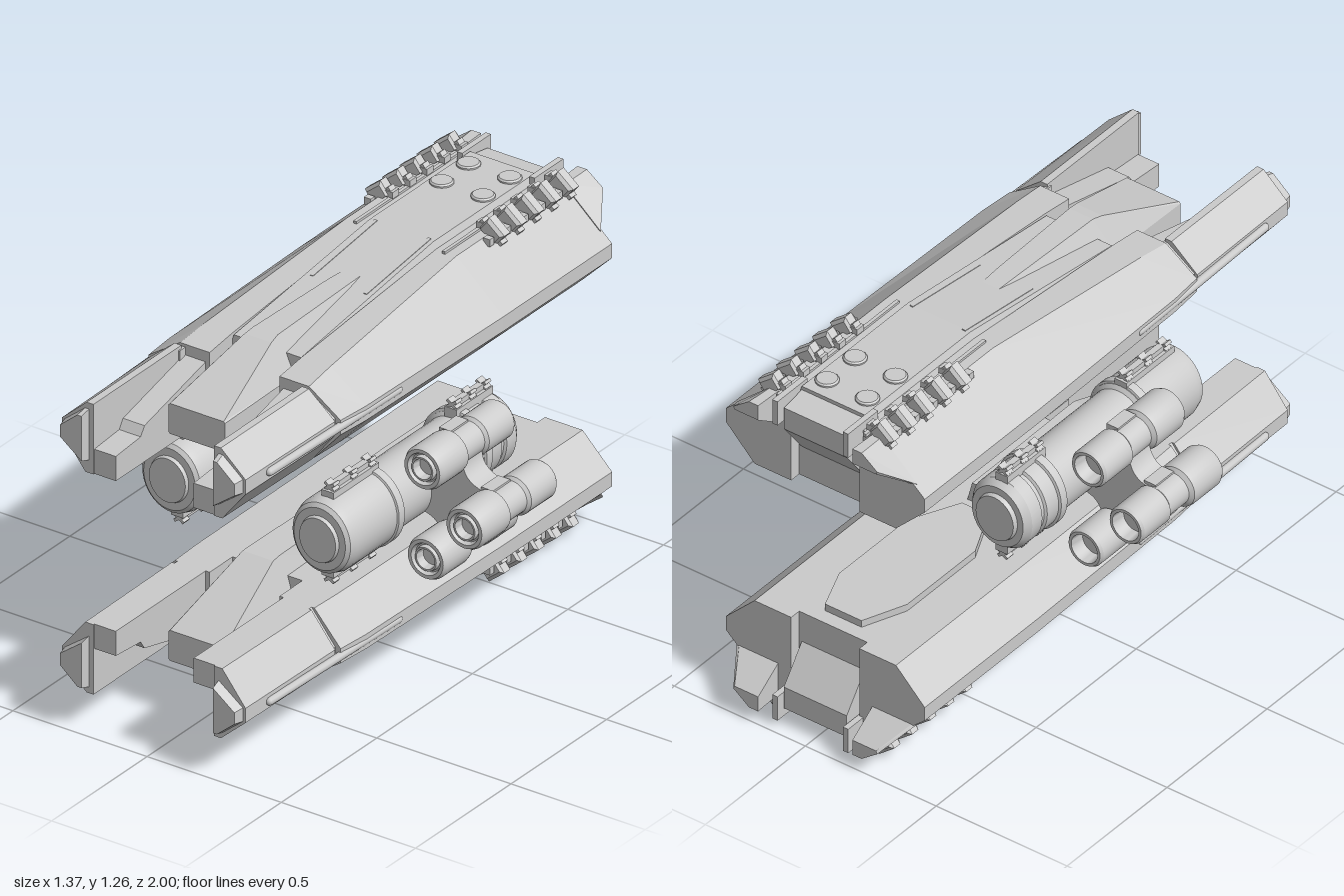
import * as THREE from 'three';
import { toCreasedNormals } from 'three/addons/utils/BufferGeometryUtils.js';

const mat = new THREE.MeshStandardMaterial({ color: 0xcccccc });

function add(parent, name, geo, x = 0, y = 0, z = 0) {
  const m = new THREE.Mesh(geo, mat);
  m.name = name;
  m.position.set(x, y, z);
  parent.add(m);
  return m;
}
const box = (w, h, d) => new THREE.BoxGeometry(w, h, d);

// Flat-shaded loft. sections: [z, [[x, y], ...]] from back to front, rings counter-clockwise
// seen from the front; side -1 mirrors the rings in x.
function loft(sections, side = 1) {
  const rings = sections.map(([z, pts]) => {
    const r = pts.map(([x, y]) => new THREE.Vector3(x * side, y, z));
    return side < 0 ? r.reverse() : r;
  });
  const pos = [];
  const tri = (...vs) => vs.forEach(v => pos.push(v.x, v.y, v.z));
  for (let i = 0; i < rings.length - 1; i++) {
    const a = rings[i], b = rings[i + 1], n = a.length;
    for (let j = 0; j < n; j++) {
      const k = (j + 1) % n;
      tri(a[j], a[k], b[k]);
      tri(a[j], b[k], b[j]);
    }
  }
  const cap = (r, flip) => {
    const flat = r.map(v => new THREE.Vector2(v.x, v.y));
    for (const [p, q, s] of THREE.ShapeUtils.triangulateShape(flat, [])) {
      if (flip) tri(r[p], r[s], r[q]); else tri(r[p], r[q], r[s]);
    }
  };
  cap(rings[0], true);
  cap(rings[rings.length - 1], false);
  const g = new THREE.BufferGeometry();
  g.setAttribute('position', new THREE.Float32BufferAttribute(pos, 3));
  g.computeVertexNormals();
  return g;
}

// Turned part along z; profile of [radius, z] from back to front
function turned(profile, segments = 32) {
  const g = new THREE.LatheGeometry(profile.map(([r, z]) => new THREE.Vector2(r, z)), segments);
  g.rotateX(Math.PI / 2);
  return toCreasedNormals(g, 0.5);
}

// Symmetric ring from its right half, listed bottom to top
const sym = half => [...half, ...half.map(([x, y]) => [-x, y]).reverse()];

const hullRing = (inner, bottom, outer, top, y) =>
  [[inner, 0.89], [bottom, 0.89], [outer, 1.0], [outer, 1.05], [top, y], [inner, y]];
const rect = (x0, x1, y0, y1) => [[x0, y0], [x1, y0], [x1, y1], [x0, y1]];

function hull(name) {
  const g = new THREE.Group();
  g.name = name;

  // Central deck and the tongue at its front
  const deck = (w, y) => sym([[w, 0.89], [w, y - 0.06], [w - 0.02, y]]);
  add(g, 'deck', loft([[-0.86, deck(0.14, 1.228)], [-0.33, deck(0.14, 1.228)], [0.37, deck(0.145, 1.14)]]));
  add(g, 'deckTail', loft([[-0.95, sym([[0.12, 1.12], [0.12, 1.2]])], [-0.86, sym([[0.12, 1.0], [0.12, 1.215]])]]));
  const tongue = (w, wt, wb, t, b) => sym([[wb, b], [w, 0.975], [w, 1.07], [wt, t]]);
  add(g, 'tongue', loft([
    [-0.1, tongue(0.09, 0.03, 0.05, 1.195, 0.82)], [0, tongue(0.09, 0.035, 0.05, 1.198, 0.82)],
    [0.38, tongue(0.1, 0.045, 0.055, 1.198, 0.82)], [0.42, tongue(0.1, 0.05, 0.057, 1.19, 0.823)],
    [0.74, tongue(0.105, 0.1, 0.1, 1.075, 0.97)]]));

  // Hatch on the inner face of the hull
  const hatch = new THREE.Shape([[0.05, 0.15], [0.13, 0.32], [0.13, 0.66], [0.07, 0.81],
    [-0.07, 0.81], [-0.13, 0.66], [-0.13, 0.32], [-0.05, 0.15]].map(p => new THREE.Vector2(...p)));
  const hatchGeo = new THREE.ExtrudeGeometry(hatch, { depth: 0.035, bevelEnabled: false });
  hatchGeo.rotateX(-Math.PI / 2);
  add(g, 'hatch', hatchGeo, 0, 0.865, 0);

  for (const s of [-1, 1]) {
    // Side body, forward arm, collar between them and arm tip
    add(g, 'sideBody', loft([
      [-0.9, hullRing(0.13, 0.27, 0.38, 0.205, 1.205)], [-0.33, hullRing(0.13, 0.27, 0.38, 0.205, 1.205)],
      [0.37, hullRing(0.13, 0.265, 0.368, 0.235, 1.145)], [0.49, hullRing(0.13, 0.26, 0.358, 0.24, 1.13)]], s));
    add(g, 'collar', loft([[0.48, hullRing(0.22, 0.25, 0.338, 0.235, 1.12)], [0.52, hullRing(0.22, 0.25, 0.338, 0.235, 1.12)]], s));
    add(g, 'arm', loft([[0.505, hullRing(0.225, 0.26, 0.348, 0.25, 1.132)], [0.965, hullRing(0.225, 0.255, 0.342, 0.25, 1.132)]], s));
    add(g, 'armTip', loft([[0.95, [[0.24, 0.93], [0.335, 1.0], [0.335, 1.05], [0.255, 1.115], [0.24, 1.115]]],
      [1.0, [[0.245, 0.945], [0.325, 1.005], [0.325, 1.045], [0.26, 1.1], [0.245, 1.1]]]], s));
    add(g, 'innerArm', loft([[0.36, rect(0.145, 0.23, 0.89, 1.125)], [0.81, rect(0.145, 0.23, 0.89, 1.015)],
      [0.83, rect(0.145, 0.23, 0.89, 0.985)], [0.96, rect(0.145, 0.23, 0.89, 0.975)]], s));

    // Long capsule trim on the outer edge
    const slot = add(g, 'sideTrim', new THREE.CapsuleGeometry(0.014, 0.65, 4, 10), s * 0.354, 1.027, 0.52);
    slot.rotation.set(Math.PI / 2, 0, s * 0.025);

    // Tail wing and tail bracket
    add(g, 'tailWing', loft([[-1.0, [[0.18, 1.155], [0.27, 1.155], [0.275, 1.165], [0.215, 1.21], [0.18, 1.21]]],
      [-0.89, [[0.18, 1.08], [0.335, 1.08], [0.345, 1.085], [0.21, 1.205], [0.18, 1.205]]]], s));
    add(g, 'tailBracket', box(0.02, 0.09, 0.15), s * 0.135, 1.19, -0.9);

    // Row of clamps along the shoulder, with small studs between
    for (let i = 0; i < 5; i++) {
      const z = -0.88 + i * 0.09;
      const clamp = new THREE.Group();
      clamp.name = 'clamp';
      clamp.position.set(s * 0.212, 1.212, z);
      clamp.rotation.z = -s * 0.68;
      add(clamp, 'clampHead', loft([[-0.024, rect(-0.03, 0.03, -0.02, 0.02)], [-0.015, rect(-0.037, 0.037, -0.02, 0.031)],
        [0.015, rect(-0.037, 0.037, -0.02, 0.031)], [0.024, rect(-0.03, 0.03, -0.02, 0.02)]]));
      add(clamp, 'clampFoot', box(0.1, 0.02, 0.028), 0, -0.008, 0);
      g.add(clamp);
      add(g, 'clampHook', box(0.05, 0.022, 0.034), s * 0.18, 1.222, z);
      add(g, 'stud', box(0.025, 0.025, 0.022), s * 0.222, 1.198, z + 0.045);
    }

    // Deck buttons and strips
    for (const z of [-0.79, -0.65]) {
      add(g, 'deckButton', turned([[0.038, -0.02], [0.038, 0.005], [0.033, 0.01], [0, 0.01]], 20),
        s * 0.077, 1.228, z).rotation.x = -Math.PI / 2;
    }
    add(g, 'deckStrip', box(0.012, 0.012, 0.34), s * 0.1, 1.204, -0.17).rotation.x = 0.125;
    add(g, 'shoulderRail', box(0.012, 0.012, 0.6), s * 0.165, 1.207, -0.62);
  }
  return g;
}

function engineCluster(name) {
  const g = new THREE.Group();
  g.name = name;

  // Main engine drum
  const drum = add(g, 'drum', turned([[0, -0.42], [0.072, -0.42], [0.076, -0.405], [0.098, -0.405], [0.114, -0.38],
    [0.114, -0.33], [0.106, -0.325], [0.106, -0.31], [0.114, -0.305], [0.114, -0.21], [0.104, -0.2], [0.104, 0.2],
    [0.116, 0.21], [0.116, 0.45], [0.108, 0.48], [0.096, 0.49], [0.072, 0.49], [0.068, 0.502], [0, 0.502]], 40), 0.28, -0.015, 0);
  drum.scale.y = 1.1;

  // Rails above and below the drum, front and back
  for (const s of [-1, 1]) {
    for (const [z, len] of [[0.33, 0.24], [-0.29, 0.19]]) {
      add(g, 'drumRail', box(0.045, 0.035, len), 0.28, -0.015 + s * 0.13, z);
      add(g, 'railCap', box(0.022, 0.02, len * 0.9), 0.28, -0.015 + s * 0.155, z);
      for (const e of [-0.4, 0, 0.4]) {
        for (const a of [-0.6, 0.6]) {
          add(g, 'railClip', box(0.042, 0.01, 0.03), 0.28, -0.015 + s * 0.158, z + e * len).rotation.z = a;
        }
      }
    }
    add(g, 'drumBand', turned([[0.11, -0.02], [0.122, -0.015], [0.122, 0.015], [0.11, 0.02]], 40),
      0.28, -0.015, s > 0 ? 0.23 : -0.23).scale.y = 1.1;
  }

  // Thruster pods
  const pods = [[0.455, 0.152], [0.612, -0.005], [0.468, -0.155]];
  for (const [x, y] of pods) {
    add(g, 'pod', turned([[0, -0.15], [0.045, -0.15], [0.05, -0.2], [0.06, -0.2], [0.066, -0.19], [0.066, -0.06],
      [0.056, -0.05], [0.056, 0.045], [0.07, 0.055], [0.073, 0.07], [0.073, 0.185], [0.066, 0.2],
      [0.054, 0.2], [0.048, 0.185], [0.043, 0.185], [0.04, 0.2], [0.034, 0.2], [0.03, 0.17], [0, 0.17]]), x, y, 0);
    add(g, 'podClamp', box(0.045, 0.125, 0.09), x - 0.025, y, 0);
  }

  // Web that joins the pods to the drum
  const web = new THREE.Shape();
  web.moveTo(0.3, 0.07);
  web.quadraticCurveTo(0.4, 0.06, 0.41, 0.14);
  web.lineTo(0.5, 0.13);
  web.quadraticCurveTo(0.5, 0.05, 0.6, 0.045);
  web.lineTo(0.6, -0.055);
  web.quadraticCurveTo(0.52, -0.05, 0.51, -0.14);
  web.lineTo(0.42, -0.14);
  web.quadraticCurveTo(0.4, -0.08, 0.3, -0.09);
  web.closePath();
  const webGeo = new THREE.ExtrudeGeometry(web, { depth: 0.1, bevelEnabled: false, curveSegments: 10 });
  add(g, 'podWeb', toCreasedNormals(webGeo, 0.5), 0, 0, -0.05);
  return g;
}

export function createModel() {
  const model = new THREE.Group();
  model.name = 'twinHullCraft';

  // Two hulls, the lower one turned over
  const lower = hull('lowerHull');
  lower.rotation.z = Math.PI;
  lower.position.y = 1.26;
  model.add(hull('upperHull'), lower);

  // Engine clusters between the hulls, half a turn apart
  const left = engineCluster('leftEngines');
  const right = engineCluster('rightEngines');
  left.position.y = right.position.y = 0.63;
  right.rotation.z = Math.PI;
  model.add(left, right);
  return model;
}
